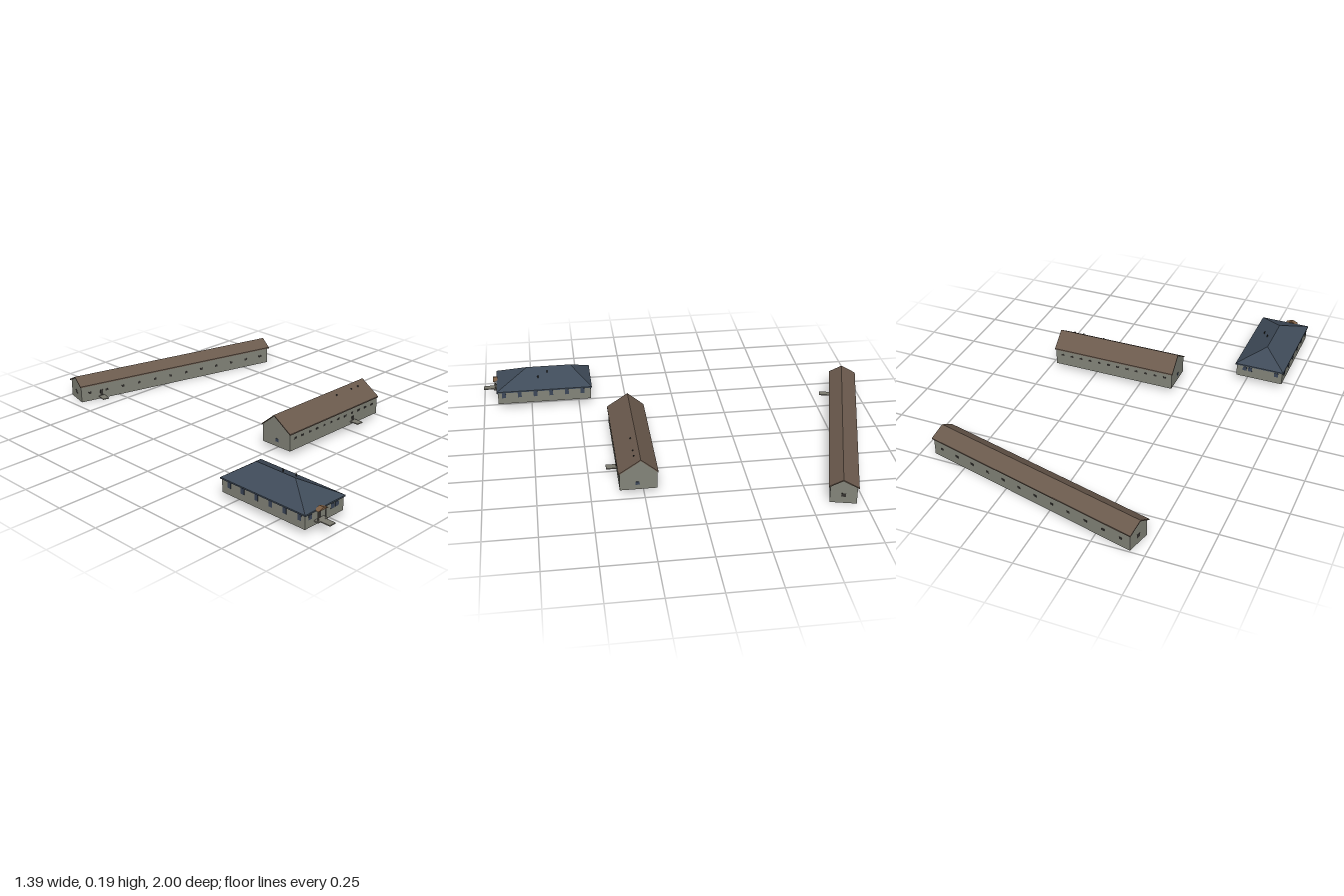
import * as THREE from 'three';
import { ConvexGeometry } from 'three/addons/geometries/ConvexGeometry.js';

const mat = (name, color) => {
  const m = new THREE.MeshStandardMaterial({ color });
  m.name = name;
  return m;
};

export function createModel() {
  const wallMat = mat('wall grey', 0x84857a);
  const brownMat = mat('roof brown', 0x6b5a4d);
  const blueMat = mat('roof blue', 0x3f4b59);
  const glassMat = mat('window glass', 0x3b4658);
  const darkMat = mat('dark trim', 0x33312e);
  const porchMat = mat('porch brown', 0x7a5c42);
  const stoneMat = mat('step stone', 0x7c7a70);

  const model = new THREE.Group();
  model.name = 'threeBuildings';

  function add(parent, name, geometry, material, x = 0, y = 0, z = 0) {
    const mesh = new THREE.Mesh(geometry, material);
    mesh.name = name;
    mesh.position.set(x, y, z);
    parent.add(mesh);
    return mesh;
  }
  const box = (parent, name, material, w, h, d, x, y, z) =>
    add(parent, name, new THREE.BoxGeometry(w, h, d), material, x, y, z);

  // Extrudes a [z, y] outline along x, centred on x = 0
  function extrudeX(points, length) {
    const shape = new THREE.Shape(points.map(([z, y]) => new THREE.Vector2(-z, y)));
    const g = new THREE.ExtrudeGeometry(shape, { depth: length, bevelEnabled: false });
    return g.translate(0, 0, -length / 2).rotateY(Math.PI / 2);
  }

  // Thin window plate, facing along z or x
  function windowPlate(parent, w, h, x, y, z, alongX = false, material = glassMat) {
    const d = 0.003;
    box(parent, 'window', material, alongX ? d : w, h, alongX ? w : d, x, y, z);
  }

  // Gabled hall: length along x, front towards +z
  function gabledHall(name, { length, width, base, eave, ridge, ridgeZ, over }) {
    const hall = new THREE.Group();
    hall.name = name;
    const r = width / 2, w = r - over, t = 0.006;
    add(hall, 'walls', extrudeX([
      [w, base], [w, eave + 0.003], [ridgeZ, ridge - t / 2], [-w, eave + 0.003], [-w, base],
    ], length - 2 * over), wallMat);
    add(hall, 'roof', extrudeX([
      [r, eave - t], [r, eave], [ridgeZ, ridge], [-r, eave], [-r, eave - t], [ridgeZ, ridge - t],
    ], length), brownMat);
    model.add(hall);
    return hall;
  }

  // Door with a landing in front of it
  function entrance(parent, x, wallZ, y, reach, width, height) {
    box(parent, 'door', darkMat, 0.016, height, 0.004, x, y + height / 2, wallZ);
    box(parent, 'landing', stoneMat, width, 0.005, reach, x, y, wallZ + reach / 2);
  }

  // Tall hall
  const tall = gabledHall('tallHall', {
    length: 0.655, width: 0.187, base: 0.027, eave: 0.118, ridge: 0.187, ridgeZ: -0.012, over: 0.005,
  });
  tall.position.set(0.142, 0, 0.276);
  for (let i = 0; i < 12; i++) {
    const x = -0.285 + i * 0.0518;
    for (const s of [1, -1]) windowPlate(tall, 0.016, 0.009, x, 0.086, s * 0.0885, false, darkMat);
  }
  for (const s of [1, -1]) windowPlate(tall, 0.02, 0.016, s * 0.3225, 0.06, 0.005, true);
  entrance(tall, 0.135, 0.0885, 0.043, 0.05, 0.036, 0.025);
  for (const x of [0.096, 0.21, 0.26]) {
    add(tall, 'roofVent', new THREE.CylinderGeometry(0.004, 0.004, 0.016, 8), darkMat, x, 0.166, 0.014);
  }

  // Long low hall, turned
  const long = gabledHall('longHall', {
    length: 1.162, width: 0.139, base: 0, eave: 0.09, ridge: 0.127, ridgeZ: 0.005, over: 0.007,
  });
  long.position.set(0.112, 0, -0.79);
  long.rotation.y = -0.2487;
  for (let i = 0; i < 12; i++) {
    const x = -0.525 + i * 0.0955;
    for (const s of [1, -1]) windowPlate(long, 0.016, 0.011, x, 0.044, s * 0.0625, false, darkMat);
  }
  for (const s of [1, -1]) windowPlate(long, 0.022, 0.018, s * 0.574, 0.043, 0, true, darkMat);
  entrance(long, -0.46, 0.0625, 0.015, 0.055, 0.034, 0.034);

  // House with a hipped roof
  const house = new THREE.Group();
  house.name = 'hippedHouse';
  house.position.set(-0.5715, 0, 0.68);
  model.add(house);
  box(house, 'walls', wallMat, 0.242, 0.068, 0.488, 0, 0.064, 0);
  const corners = [];
  for (const x of [-0.127, 0.127]) for (const z of [-0.25, 0.25]) {
    corners.push(new THREE.Vector3(x, 0.095, z), new THREE.Vector3(x, 0.102, z));
  }
  corners.push(new THREE.Vector3(-0.008, 0.173, -0.145), new THREE.Vector3(-0.008, 0.173, 0.085));
  add(house, 'hippedRoof', new ConvexGeometry(corners), blueMat);

  // House windows along the sides and ends
  for (const s of [1, -1]) {
    for (let i = 0; i < 6; i++) {
      windowPlate(house, 0.02, 0.028, s * 0.1215, 0.078, -0.2 + i * 0.0826, true);
    }
    for (const x of [-0.09, 0.05, 0.078]) windowPlate(house, 0.021, 0.022, x, 0.078, s * 0.2445);
  }
  for (const [y, z] of [[0.143, 0.03], [0.158, -0.02]]) {
    add(house, 'roofVent', new THREE.CylinderGeometry(0.003, 0.003, 0.016, 8), darkMat, (0.173 - y) * 1.9, y, z);
  }

  // Porch: door, posts, gabled canopy and walkway
  const porch = new THREE.Group();
  porch.name = 'porch';
  porch.position.set(-0.034, 0, 0.244);
  house.add(porch);
  box(porch, 'door', darkMat, 0.02, 0.04, 0.004, 0, 0.07, 0);
  for (const s of [1, -1]) box(porch, 'post', stoneMat, 0.004, 0.05, 0.004, s * 0.024, 0.075, 0.016);
  const canopy = new THREE.Shape([[-0.031, 0.1], [0.031, 0.1], [0, 0.113]].map(p => new THREE.Vector2(...p)));
  add(porch, 'canopy', new THREE.ExtrudeGeometry(canopy, { depth: 0.024, bevelEnabled: false }), porchMat);
  box(porch, 'landing', stoneMat, 0.06, 0.006, 0.024, 0, 0.05, 0.012);
  box(porch, 'walkway', stoneMat, 0.036, 0.005, 0.06, 0, 0.05, 0.046);

  return model;
}
